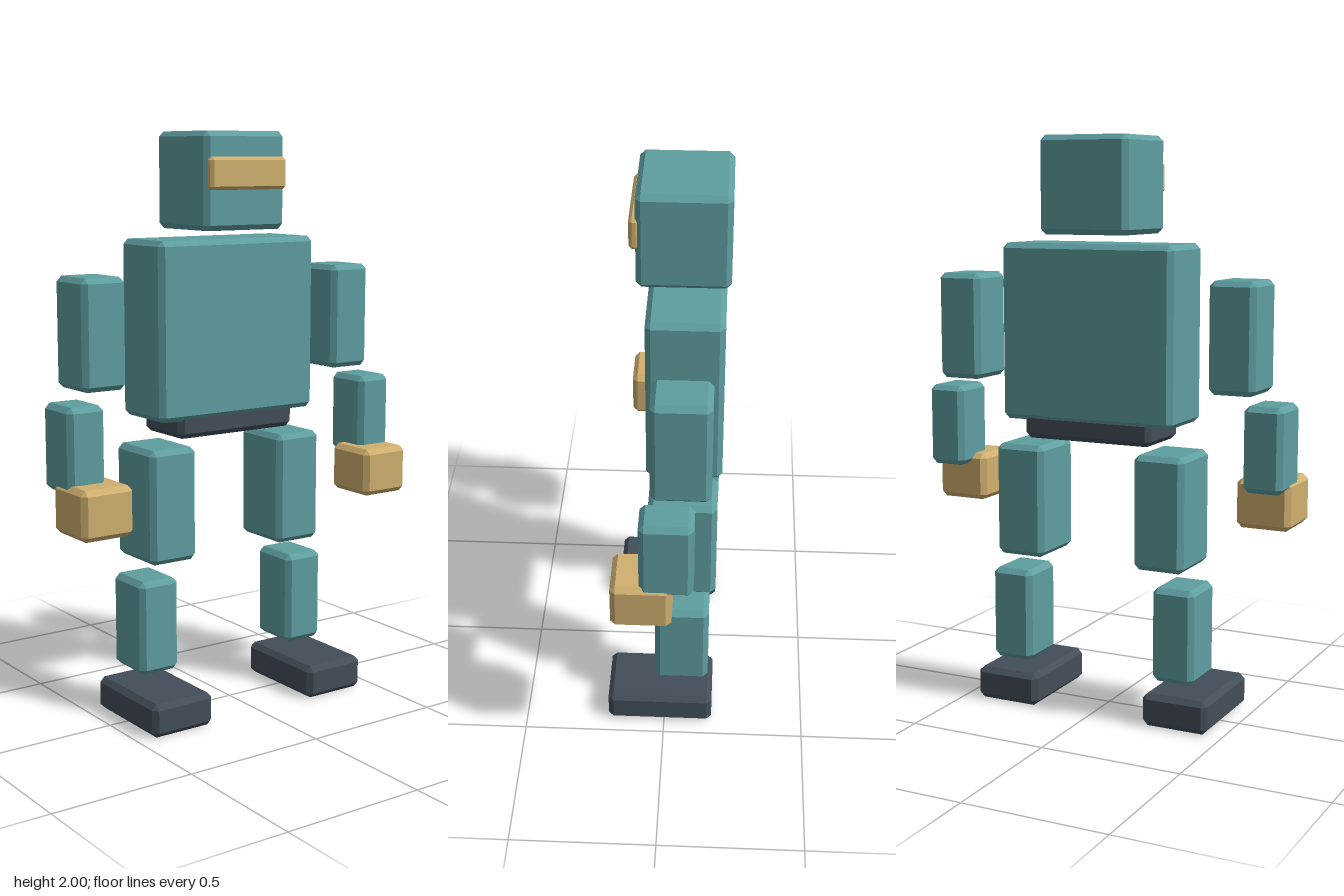
import * as THREE from 'three';
import { ConvexGeometry } from 'three/addons/geometries/ConvexGeometry.js';

const paint = (color) => new THREE.MeshStandardMaterial({ color });

// Box with flat chamfers on every edge: each corner becomes three points.
function chamferedBox(w, h, d, c) {
  const points = [];
  for (const sx of [-1, 1]) for (const sy of [-1, 1]) for (const sz of [-1, 1]) {
    const x = w / 2, y = h / 2, z = d / 2;
    points.push(
      new THREE.Vector3(sx * x, sy * (y - c), sz * (z - c)),
      new THREE.Vector3(sx * (x - c), sy * y, sz * (z - c)),
      new THREE.Vector3(sx * (x - c), sy * (y - c), sz * z),
    );
  }
  return new ConvexGeometry(points);
}

// Block given by its extents along each axis.
function block(name, [x0, x1], [y0, y1], [z0, z1], material, chamfer = 0.018) {
  const mesh = new THREE.Mesh(chamferedBox(x1 - x0, y1 - y0, z1 - z0, chamfer), material);
  mesh.position.set((x0 + x1) / 2, (y0 + y1) / 2, (z0 + z1) / 2);
  mesh.name = name;
  return mesh;
}

export function createModel() {
  const model = new THREE.Group();
  model.name = 'robot';
  const teal = paint(0x5f9ea0);
  const gold = paint(0xd0b070);
  const dark = paint(0x434e59);

  // Head and body
  model.add(
    block('head', [-0.164, 0.164], [1.672, 2], [-0.203, 0.099], teal),
    block('visor', [-0.156, 0.156], [1.807, 1.915], [0.085, 0.12], gold, 0.011),
    block('torso', [-0.32, 0.32], [1.036, 1.642], [-0.189, 0.063], teal),
    block('pelvis', [-0.239, 0.239], [0.972, 1.06], [-0.181, 0.052], dark),
  );

  // Limbs, described on the model's left (+x) and mirrored
  const limbs = [
    ['UpperArm', [0.433, 0.596], [1.16, 1.531], [-0.158, 0.035], teal],
    ['Forearm', [0.539, 0.676], [0.834, 1.123], [-0.107, 0.069], teal],
    ['Hand', [0.49, 0.682], [0.699, 0.869], [-0.037, 0.163], gold],
    ['Thigh', [0.174, 0.357], [0.548, 0.943], [-0.176, 0.057], teal],
    ['Shin', [0.236, 0.389], [0.159, 0.488], [-0.155, 0.034], teal],
    ['Foot', [0.207, 0.447], [0, 0.116], [-0.172, 0.202], dark],
  ];
  for (const [name, x, y, z, material] of limbs) {
    model.add(
      block('left' + name, x, y, z, material),
      block('right' + name, [-x[1], -x[0]], y, z, material),
    );
  }
  return model;
}
